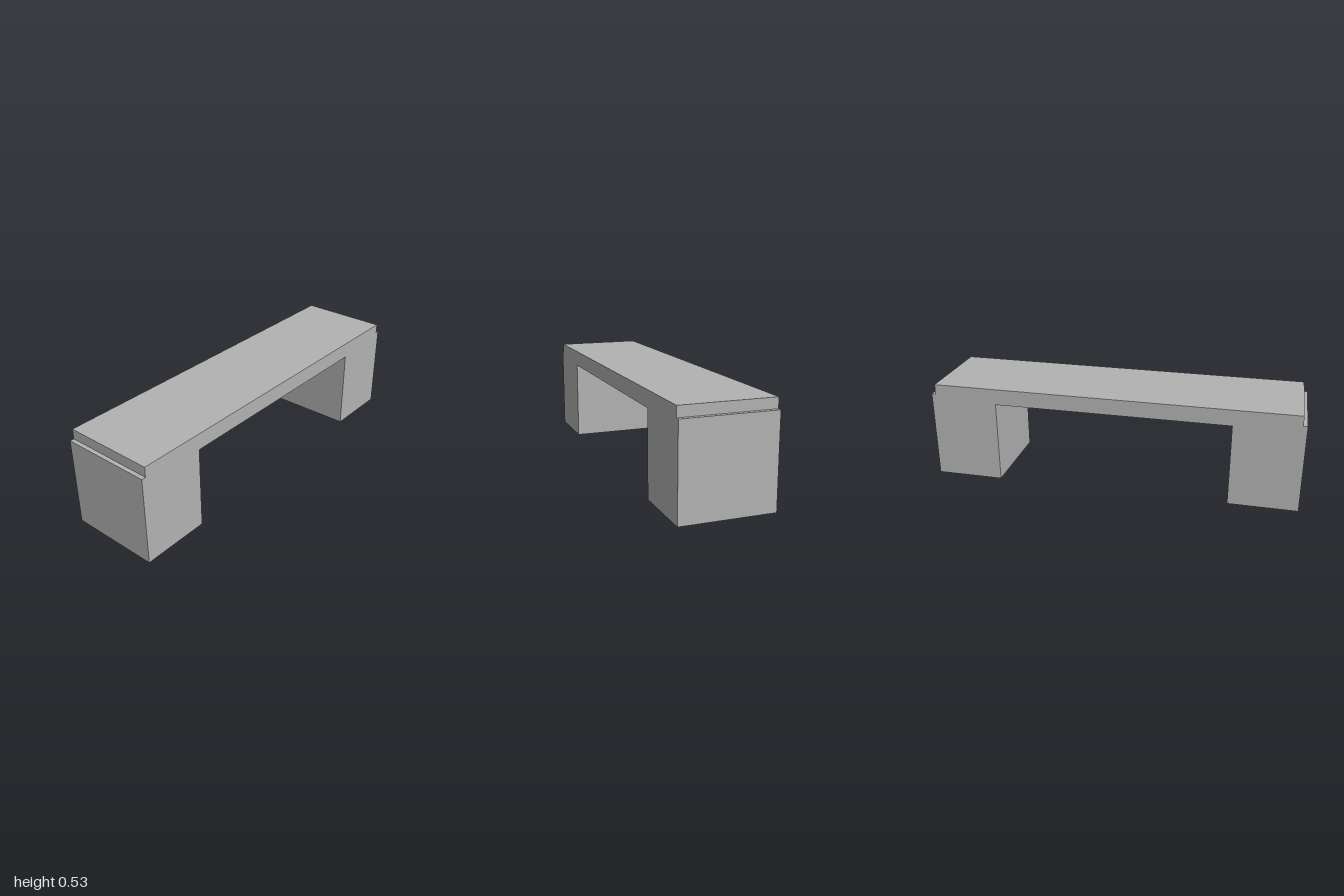
import * as THREE from 'three';

export function createModel() {
  const group = new THREE.Group();
  group.name = 'bench';

  const stone = new THREE.MeshStandardMaterial({ color: 0xb2b2b2 });
  stone.name = 'grey stone';

  const depth = 0.488;
  const legInner = 0.633, underside = 0.447;
  const shoulder = 0.48, seatEnd = 0.978, seatTop = 0.534;

  // Right half of the silhouette: leg, shoulder step and seat slab
  const half = [
    [legInner, underside], [legInner, 0], [1, 0],
    [1, shoulder], [seatEnd, shoulder], [seatEnd, seatTop],
  ];
  const mirrored = half.map(([x, y]) => [-x, y]).reverse();
  const outline = [...half, ...mirrored].map(([x, y]) => new THREE.Vector2(x, y));

  // Seat and both block legs as one solid
  const geometry = new THREE.ExtrudeGeometry(new THREE.Shape(outline), { depth, bevelEnabled: false });
  geometry.translate(0, 0, -depth / 2);

  const body = new THREE.Mesh(geometry, stone);
  body.name = 'seatAndLegs';
  group.add(body);
  return group;
}
